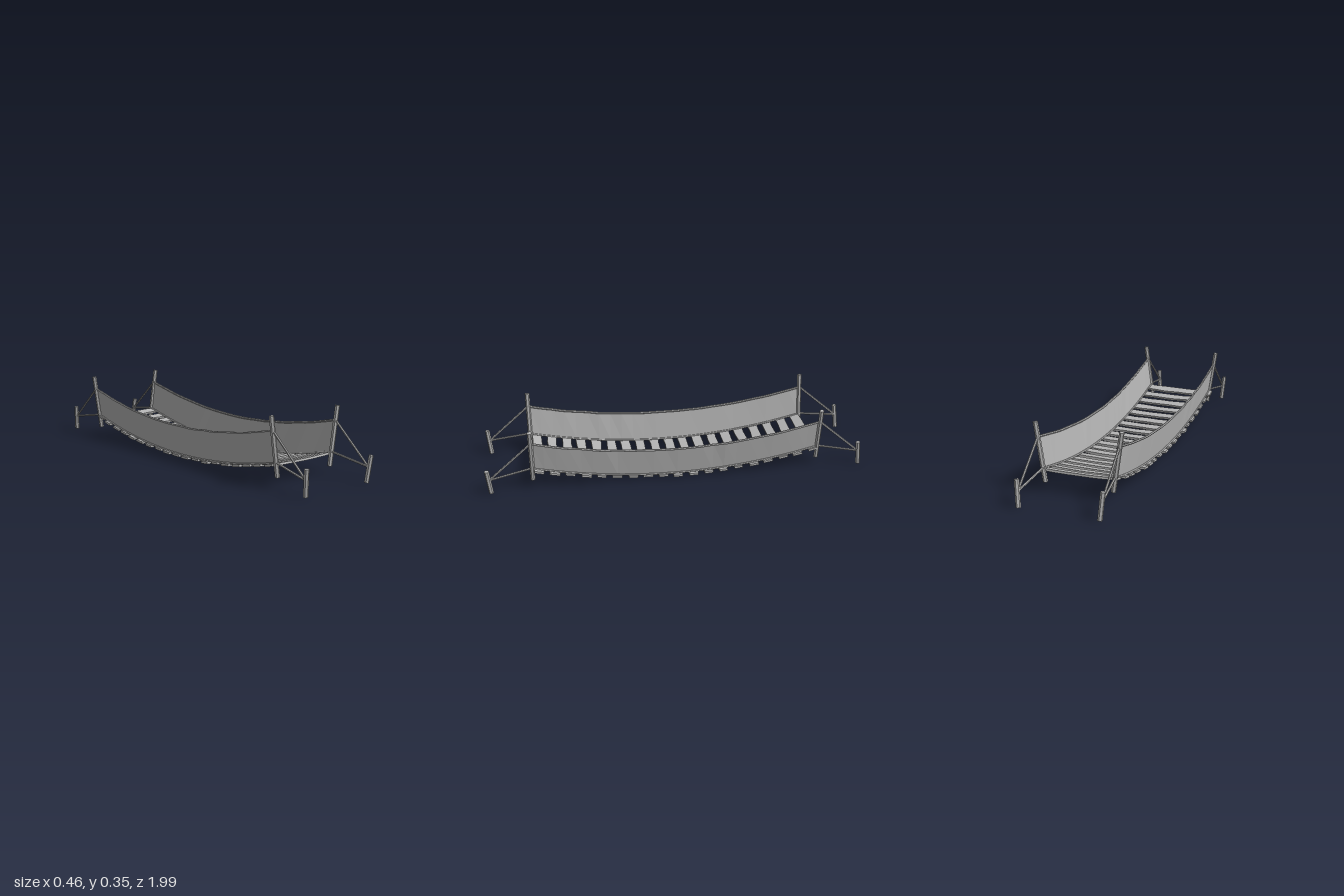
import * as THREE from 'three';

const END = 0.755; // z of the tall posts
const V = (x, y, z) => new THREE.Vector3(x, y, z);
const sag = (z) => 0.095 * (z / END) ** 2;

export function createModel() {
  const root = new THREE.Group();
  root.name = 'ropeBridge';
  const grey = new THREE.MeshStandardMaterial({ color: 0xb4b4b4 });
  const greySheet = new THREE.MeshStandardMaterial({ color: 0xb4b4b4, side: THREE.DoubleSide });
  grey.name = 'grey';
  greySheet.name = 'grey sheet';

  let seed = 7;
  const jitter = (a) => {
    seed = (seed * 16807) % 2147483647;
    return (seed / 2147483647 * 2 - 1) * a;
  };

  const add = (name, geometry, material = grey) => {
    const flat = geometry.index ? geometry.toNonIndexed() : geometry;
    flat.computeVertexNormals();
    const mesh = new THREE.Mesh(flat, material);
    mesh.name = name;
    root.add(mesh);
    return mesh;
  };

  // straight pole between two points
  const pole = (name, a, b, r, sides) => {
    const dir = b.clone().sub(a);
    const mesh = add(name, new THREE.CylinderGeometry(r, r, dir.length(), sides));
    mesh.position.copy(a).add(b).multiplyScalar(0.5);
    mesh.quaternion.setFromUnitVectors(V(0, 1, 0), dir.normalize());
  };

  // planks following the sagging deck, each slightly bowed and uneven
  for (let i = 0; i < 19; i++) {
    const z = -0.73 + i * 0.0806;
    const half = 0.202 + jitter(0.007);
    const geo = new THREE.BoxGeometry(half * 2, 0.012, 0.05, 6, 1, 1);
    const edges = [-1, 1].map(() => Array.from({ length: 7 }, () => jitter(0.004)));
    const p = geo.attributes.position;
    for (let k = 0; k < p.count; k++) {
      const u = p.getX(k) / half;
      const col = Math.round((u + 1) * 3);
      const side = p.getZ(k) > 0 ? 1 : 0;
      p.setZ(k, p.getZ(k) + edges[side][col]);
      p.setY(k, p.getY(k) - 0.005 * (1 - u * u));
    }
    const plank = add('plank', geo);
    plank.position.set(jitter(0.004), 0.017 + sag(z), z);
    plank.rotation.set(-Math.atan(0.19 * z / (END * END)), jitter(0.012), jitter(0.008));
  }

  for (const s of [-1, 1]) {
    // leaning side panel between the lower and upper ropes
    const lower = [], upper = [];
    for (let i = 0; i <= 24; i++) {
      const z = -END + (2 * END * i) / 24;
      lower.push(V(s * 0.184, 0.023 + sag(z), z));
      upper.push(V(s * (0.207 + jitter(0.002)), 0.181 + sag(z) + jitter(0.0015), z));
    }
    const panel = new THREE.PlaneGeometry(1, 1, 24, 1);
    const p = panel.attributes.position;
    for (let i = 0; i <= 24; i++) {
      p.setXYZ(i, ...upper[i].toArray());
      p.setXYZ(25 + i, ...lower[i].toArray());
    }
    add('sidePanel', panel, greySheet);
    for (const [name, pts] of [['upperRope', upper], ['lowerRope', lower]]) {
      add(name, new THREE.TubeGeometry(new THREE.CatmullRomCurve3(pts), 36, 0.006, 6));
    }

    for (const e of [-1, 1]) {
      // tall post, short anchor post and the two stay ropes joining them
      const z = e * END;
      pole('tallPost', V(s * 0.175, 0.047, z), V(s * 0.219, 0.347, z), 0.0125, 6);
      pole('anchorPost', V(s * 0.203, 0.004, e * 0.978 - 0.007), V(s * 0.214, 0.139, e * 0.978 + 0.007), 0.0125, 6);
      pole('upperStay', V(s * 0.207, 0.276, z), V(s * 0.207, 0.08, e * 0.978), 0.006, 6);
      pole('lowerStay', V(s * 0.184, 0.12, z), V(s * 0.207, 0.082, e * 0.978), 0.006, 6);
    }
  }
  return root;
}
